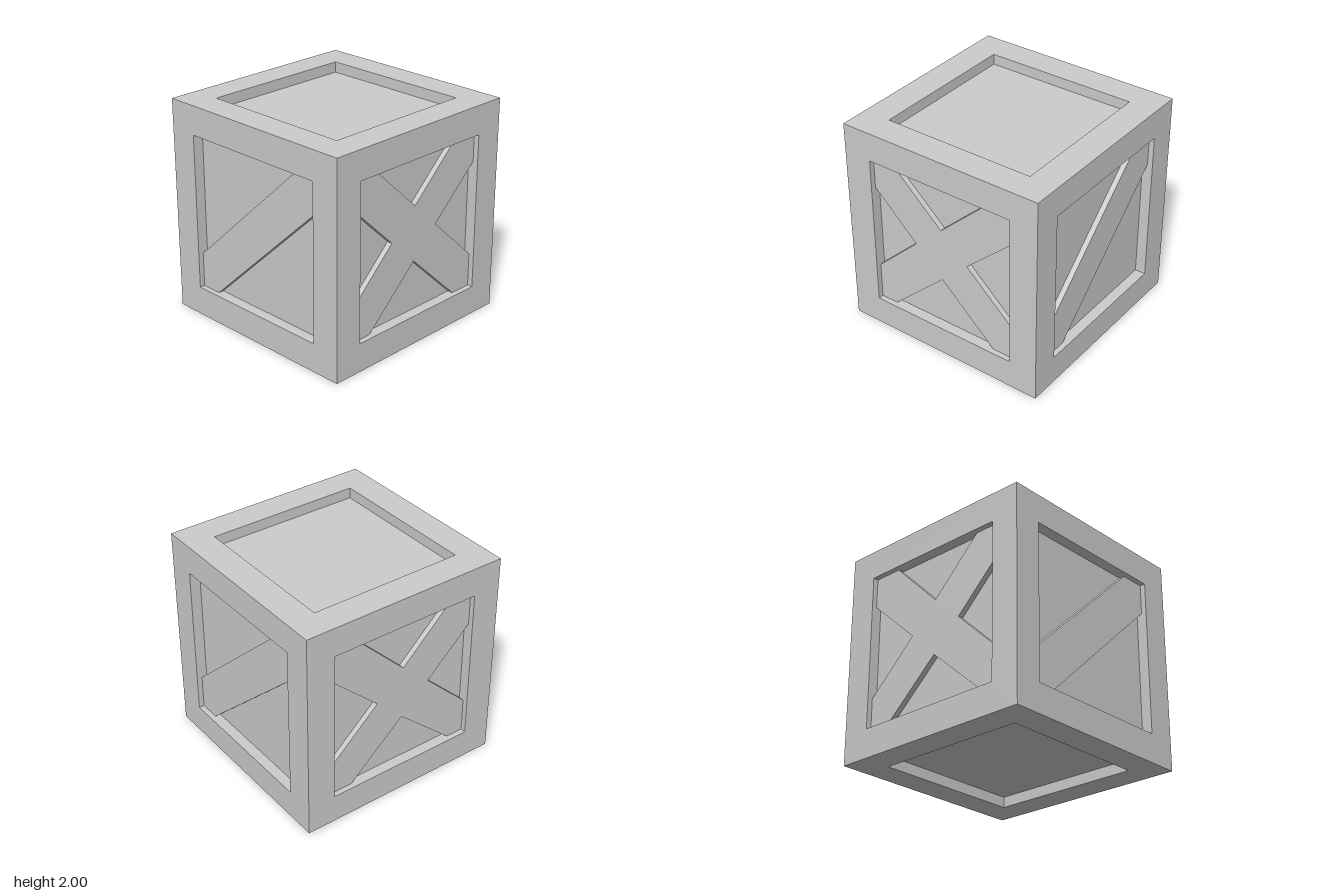
import * as THREE from 'three';

const HALF = 1;      // half the crate's side
const OPEN = 0.73;   // half the side of each recessed opening
const CORE = 0.9;    // half the side of the inner box
const RELIEF = 0.05; // thickness of the braces

const material = new THREE.MeshStandardMaterial({ color: 0xcccccc, flatShading: true });

const polygon = (points) => new THREE.Shape(points.map(([x, y]) => new THREE.Vector2(x, y)));

const rectangle = (w, h) => [[-w, -h], [w, -h], [w, h], [-w, h]];

// Extrudes a shape outward from the core's +z face
function slab(name, shape, depth) {
  const geometry = new THREE.ExtrudeGeometry(shape, { depth, bevelEnabled: false });
  geometry.translate(0, 0, CORE);
  const mesh = new THREE.Mesh(geometry, material);
  mesh.name = name;
  return mesh;
}

// Square border around a recessed panel
function frame(w, h) {
  const shape = polygon(rectangle(w, h));
  shape.holes.push(polygon(rectangle(OPEN, OPEN).reverse()));
  return slab('frame', shape, HALF - CORE);
}

// Slightly off-centre X, clipped to the opening
const crossPoints = [
  [-OPEN, -OPEN], [-0.56, -OPEN], [-0.02, -0.23], [0.515, -OPEN],
  [OPEN, -OPEN], [OPEN, -0.415], [0.25, 0.03], [OPEN, 0.47],
  [OPEN, OPEN], [0.455, OPEN], [-0.02, 0.285], [-0.5, OPEN],
  [-OPEN, OPEN], [-OPEN, 0.44], [-0.3, 0.03], [-OPEN, -0.38],
];

// Mirrored X for the back, sitting a little lower
const backCrossPoints = crossPoints
  .map(([x, y]) => [-x, Math.abs(y) === OPEN ? y : y - 0.02])
  .reverse();

// Single diagonal, clipped to the opening
const diagonalPoints = [
  [-OPEN, -OPEN], [-0.53, -OPEN], [OPEN, 0.445],
  [OPEN, OPEN], [0.49, OPEN], [-OPEN, -0.405],
];

export function createModel() {
  const model = new THREE.Group();
  model.name = 'crate';

  // Inner box forms the recessed panels
  const core = new THREE.Mesh(new THREE.BoxGeometry(2 * CORE, 2 * CORE, 2 * CORE), material);
  core.name = 'panels';
  core.position.y = HALF;
  model.add(core);

  // Frames are sized so that they butt together without overlapping
  const sides = [
    { name: 'front', w: HALF, h: HALF, ry: 0, brace: crossPoints },
    { name: 'back', w: HALF, h: HALF, ry: Math.PI, brace: backCrossPoints },
    { name: 'left', w: CORE, h: HALF, ry: Math.PI / 2, brace: diagonalPoints },
    { name: 'right', w: CORE, h: HALF, ry: -Math.PI / 2, brace: diagonalPoints },
    { name: 'top', w: CORE, h: CORE, rx: -Math.PI / 2 },
    { name: 'bottom', w: CORE, h: CORE, rx: Math.PI / 2 },
  ];
  for (const { name, w, h, rx = 0, ry = 0, brace } of sides) {
    const side = new THREE.Group();
    side.name = name + 'Side';
    side.add(frame(w, h));
    if (brace) side.add(slab('brace', polygon(brace), RELIEF));
    side.rotation.set(rx, ry, 0);
    side.position.y = HALF;
    model.add(side);
  }
  return model;
}
